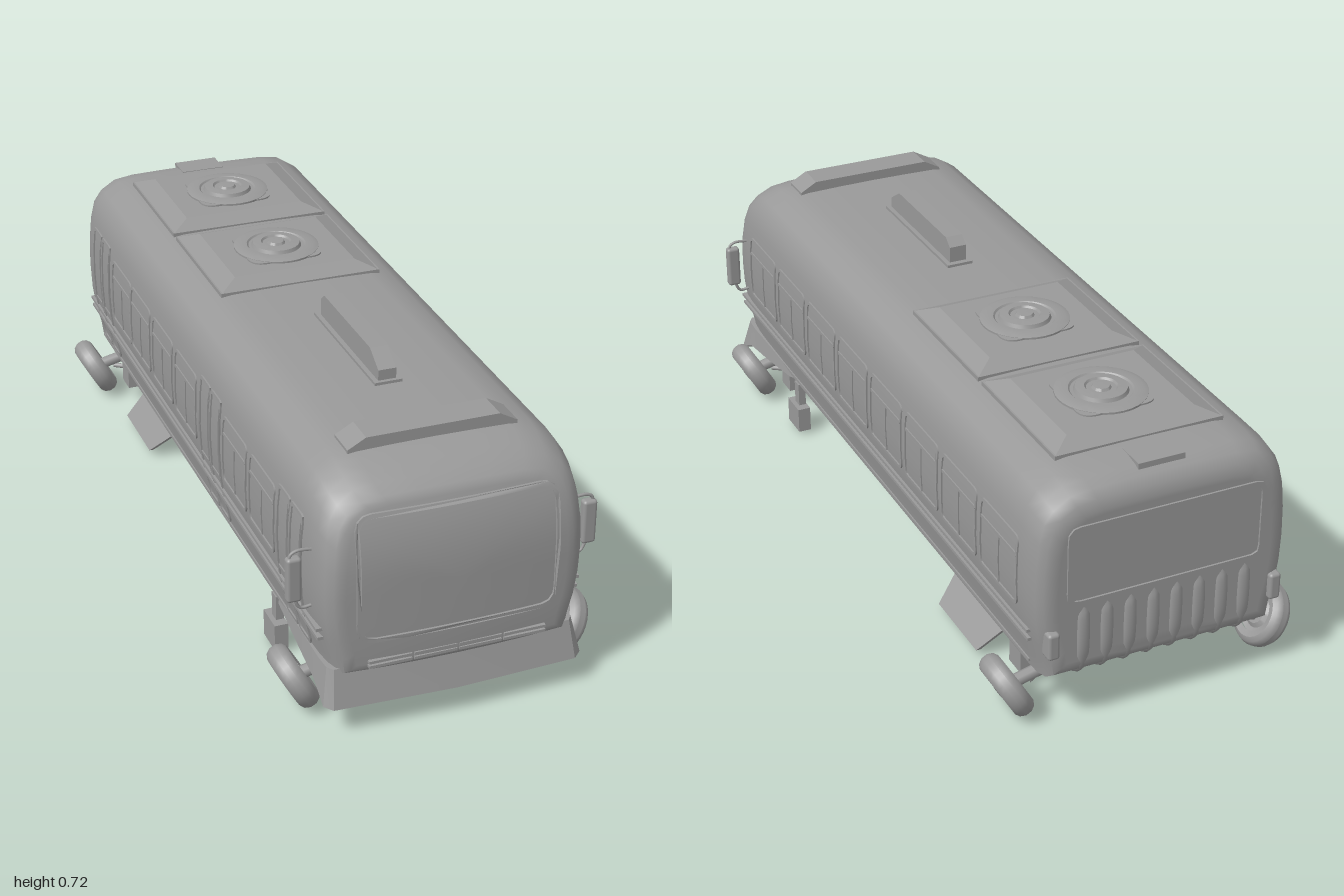
import * as THREE from 'three';
import { toCreasedNormals } from 'three/addons/utils/BufferGeometryUtils.js';
import { RoundedBoxGeometry } from 'three/addons/geometries/RoundedBoxGeometry.js';

const grey = new THREE.MeshStandardMaterial({ color: 0x999999 });
const thin = new THREE.MeshStandardMaterial({ color: 0x999999, side: THREE.DoubleSide });
const V = (x, y, z) => new THREE.Vector3(x, y, z);

// Half cross-section of the body, bottom to top
const section = [[0, 0.145], [0.1, 0.145], [0.2, 0.145], [0.3, 0.146], [0.306, 0.19], [0.319, 0.245], [0.328, 0.31], [0.331, 0.38],
  [0.329, 0.46], [0.322, 0.53], [0.31, 0.58], [0.287, 0.613], [0.245, 0.64], [0.19, 0.648], [0.1, 0.65], [0, 0.651]];

function sideX(y) {
  const i = section.findIndex(p => p[1] >= y);
  const [x0, y0] = section[i - 1], [x1, y1] = section[i];
  return x0 + (x1 - x0) * (y - y0) / (y1 - y0);
}

function mapVertices(geo, fn) {
  const p = geo.attributes.position, v = V(0, 0, 0);
  for (let i = 0; i < p.count; i++) {
    fn(v.fromBufferAttribute(p, i));
    p.setXYZ(i, v.x, v.y, v.z);
  }
  geo.computeVertexNormals();
  return geo;
}

// Rakes and crowns the nose
function bendNose(v) {
  const f = THREE.MathUtils.smoothstep(v.z, 0.75, 0.97);
  v.z -= f * (1.2 * Math.max(0, v.y - 0.4) ** 2 + 0.15 * v.x * v.x + 0.5 * Math.max(0, 0.25 - v.y) ** 2);
}

// Skin through closed rings of equal point count, running towards +z
function loft(rings) {
  const n = rings[0].length, index = [];
  for (let i = 0; i < rings.length - 1; i++) for (let j = 0; j < n; j++) {
    const a = i * n + j, b = i * n + (j + 1) % n;
    index.push(a, b, a + n, b, b + n, a + n);
  }
  const geo = new THREE.BufferGeometry().setFromPoints(rings.flat());
  geo.setIndex(index);
  geo.computeVertexNormals();
  return geo;
}

function bodyGeometry() {
  const outline = [...section, ...section.slice(1, -1).reverse().map(([x, y]) => [-x, y])];
  const ring = (z, w, top, bot) => outline.map(([x, y]) => V(x * w, bot + (y - 0.145) / 0.506 * (top - bot), z));
  const cap = (z, w, top, bot) => [0, 0.25, 0.5, 0.7, 0.85, 0.95].map(k =>
    ring(z, w * k, 0.37 + (top - 0.37) * k, 0.37 + (bot - 0.37) * k));
  const rings = cap(-0.985, 0.88, 0.585, 0.18);
  for (const r of [[-0.985, 0.88, 0.585, 0.18], [-0.977, 0.935, 0.61, 0.162], [-0.96, 0.973, 0.63, 0.15], [-0.93, 0.995, 0.643, 0.146],
    [-0.89, 1, 0.65, 0.145], [-0.81, 1, 0.651, 0.145], [0.75, 1, 0.651, 0.145], [0.82, 1, 0.651, 0.145], [0.89, 0.995, 0.645, 0.147],
    [0.94, 0.982, 0.632, 0.15], [0.97, 0.957, 0.616, 0.155], [0.985, 0.91, 0.595, 0.165]]) rings.push(ring(...r));
  rings.push(ring(0.99, 0.87, 0.587, 0.173), ...cap(0.99, 0.87, 0.587, 0.173).reverse());
  return toCreasedNormals(mapVertices(loft(rings), bendNose), 0.7);
}

// Points of a rounded rectangle centred on cx, cy
function roundPoints(cx, cy, w, h, r) {
  const x = w / 2, y = h / 2, s = new THREE.Shape();
  s.moveTo(r - x, -y).lineTo(x - r, -y).quadraticCurveTo(x, -y, x, r - y).lineTo(x, y - r).quadraticCurveTo(x, y, x - r, y);
  s.lineTo(r - x, y).quadraticCurveTo(-x, y, -x, y - r).lineTo(-x, r - y).quadraticCurveTo(-x, -y, r - x, -y);
  return s.getSpacedPoints(80).slice(0, -1).map(p => p.add(new THREE.Vector2(cx, cy)));
}

// Rounded plate, or a frame when a border is given
function plate(cx, cy, w, h, r, depth, border = 0) {
  const s = new THREE.Shape(roundPoints(cx, cy, w, h, r));
  if (border) s.holes.push(new THREE.Path(roundPoints(cx, cy, w - 2 * border, h - 2 * border, Math.max(r - border, 0.004))));
  return new THREE.ExtrudeGeometry(s, { depth, bevelEnabled: false });
}

export function createModel() {
  const model = new THREE.Group();
  const add = (name, geo, x = 0, y = 0, z = 0, parent = model, mat = grey) => {
    const m = new THREE.Mesh(geo, mat);
    m.name = name;
    m.position.set(x, y, z);
    parent.add(m);
    return m;
  };
  const box = (name, w, h, d, x, y, z) => add(name, new THREE.BoxGeometry(w, h, d), x, y, z);
  const tube = (name, pts, r, n = 24) =>
    add(name, new THREE.TubeGeometry(new THREE.CatmullRomCurve3(pts.map(p => V(...p))), n, r, 8));
  const extrude = (pts, depth) => new THREE.ExtrudeGeometry(
    new THREE.Shape(pts.map(p => new THREE.Vector2(...p))), { depth, bevelEnabled: false });
  // Lays a plate on the curved side wall; s is +1 for left, -1 for right
  const onSide = (name, s, z, y, w, h, r, depth, border) => {
    const g = plate(-s * z, y, w, h, r, depth, border).rotateY(s * Math.PI / 2);
    add(name, toCreasedNormals(mapVertices(g, v => { v.x += s * (sideX(v.y) - 0.001); }), 0.6));
  };
  const rail = (name, s, y, h, out, length, z) => box(name, 0.02, h, length, s * (sideX(y) - 0.01 + out), y, z);

  add('body', bodyGeometry());

  // Windscreen frame and the slatted strip below it
  const screen = plate(0, 0.405, 0.5, 0.32, 0.045, 0.012, 0.01).translate(0, 0, 0.984);
  add('windscreenFrame', toCreasedNormals(mapVertices(screen, bendNose), 0.6));
  for (let i = 0; i < 4; i++) for (const y of [0.181, 0.193]) box('noseSlat', 0.106, 0.007, 0.02, -0.168 + i * 0.112, y, 0.981);

  // Flared front skirt, wrapping round to the wheel arches
  const half = [[0.305, 0.165, 0.62, 0.308, 0.15], [0.308, 0.17, 0.78, 0.315, 0.128], [0.31, 0.172, 0.9, 0.322, 0.118],
    [0.308, 0.174, 0.945, 0.325, 0.085], [0.296, 0.175, 0.962, 0.305, 0.08], [0, 0.175, 0.975, 0, 0.08]];
  const row = [...half, ...half.slice(0, -1).reverse().map(([a, b, c, d, e]) => [-a, b, c, -d, e])];
  const lipZ = z => z > 0.92 ? z + 0.025 : z;
  const skirt = loft(row.map(([x, y, z, x2, y2]) =>
    [V(x, y, z), V(x2, y2, lipZ(z)), V(x2 * 0.97, y2, lipZ(z) - 0.012), V(x * 0.95, y, z - 0.015)]));
  add('frontSkirt', toCreasedNormals(skirt, 0.5), 0, 0, 0, model, thin);

  // Windows, each with a transom and a short post
  const sideWindow = (s, z, w) => {
    onSide('windowFrame', s, z, 0.405, w, 0.185, 0.02, 0.005, 0.008);
    onSide('windowTransom', s, z, 0.448, w - 0.01, 0.008, 0.003, 0.004);
    onSide('windowPost', s, z, 0.38, 0.007, 0.13, 0.003, 0.004);
  };
  for (let i = 0; i < 8; i++) sideWindow(1, 0.745 - i * 0.219, 0.2);
  for (const z of [0.57, 0.37, -0.02, -0.22, -0.42, -0.6]) sideWindow(-1, z, 0.18);
  for (const z of [0.76, 0.18, -0.8]) for (const d of [-0.042, 0.042]) {
    onSide('doorFrame', -1, z + d, 0.345, 0.08, 0.35, 0.012, 0.005, 0.009);
    onSide('doorRail', -1, z + d, 0.3, 0.07, 0.01, 0.003, 0.004);
  }
  for (const s of [1, -1]) {
    // Double belt moulding and sill
    for (const y of [0.248, 0.272]) rail('beltRail', s, y, 0.008, 0.007, 1.87, 0);
    rail('sillRail', s, 0.163, 0.008, 0.004, 1.7, -0.05);

    // Mirror and bracket
    tube('mirrorBracket', [[s * 0.32, 0.462, 0.89], [s * 0.36, 0.464, 0.89], [s * 0.375, 0.455, 0.89], [s * 0.372, 0.39, 0.89],
      [s * 0.36, 0.325, 0.89], [s * 0.35, 0.312, 0.89], [s * 0.32, 0.314, 0.89]], 0.004, 40);
    add('mirror', new RoundedBoxGeometry(0.036, 0.115, 0.025, 3, 0.008), s * 0.368, 0.392, 0.89);
    add('tailLight', new RoundedBoxGeometry(0.03, 0.07, 0.04, 3, 0.008), s * 0.29, 0.255, -0.98);

    // Flared panel below the sill
    const flare = extrude([[0.37, 0.125], [0.38, 0.09], [0.42, 0.025], [0.64, 0.025], [0.665, 0.09], [0.67, 0.125]], 0.012).rotateY(Math.PI / 2);
    add('sideFlare', mapVertices(flare, v => { v.x += s * (0.235 + 1.1 * (0.095 - v.y)) - 0.006; }));
  }

  // Rear window and the ribbed engine cover curling under the tail
  add('rearWindowFrame', toCreasedNormals(plate(0, 0.45, 0.51, 0.21, 0.03, 0.008, 0.012), 0.6), 0, 0, -0.99);
  for (let i = 0; i < 8; i++) {
    const x = -0.21 + i * 0.06;
    tube('rearRib', [[x, 0.33, -0.965], [x, 0.31, -0.971], [x, 0.21, -0.971], [x, 0.165, -0.957], [x, 0.147, -0.92], [x, 0.145, -0.8]], 0.021);
  }

  // Roof: two ventilators, fin, front cowl and rear box
  const lathe = pts => toCreasedNormals(new THREE.LatheGeometry(pts.map(p => new THREE.Vector2(...p)), 32), 0.6);
  for (const z of [-0.65, -0.245]) {
    const unit = new THREE.Group();
    unit.name = 'roofVentilator';
    unit.position.set(0, 0.645, z);
    model.add(unit);
    add('ventBase', new THREE.BoxGeometry(0.435, 0.016, 0.385), 0, 0.002, 0, unit);
    const hood = new THREE.CylinderGeometry(0.165 * Math.SQRT2, 0.216 * Math.SQRT2, 0.02, 4, 1).toNonIndexed().rotateY(Math.PI / 4).scale(1, 1, 0.885);
    hood.computeVertexNormals();
    add('ventHood', hood, 0, 0.019, 0, unit);
    add('ventFlange', plate(0, 0, 0.2, 0.2, 0.04, 0.006).rotateX(-Math.PI / 2), 0, 0.027, 0, unit);
    add('ventDisc', lathe([[0.112, 0], [0.112, 0.006], [0.1, 0.01], [0.078, 0.01], [0.074, 0.006], [0.066, 0.006], [0.062, 0.015],
      [0.04, 0.017], [0.036, 0.012], [0.024, 0.012], [0.02, 0.018], [0, 0.019]]), 0, 0.028, 0, unit);
  }
  const fin = add('roofFin', extrude([[-0.535, 0.64], [-0.535, 0.685], [-0.48, 0.72], [-0.175, 0.72], [-0.15, 0.7], [-0.15, 0.64]].reverse(), 0.046), -0.023);
  fin.rotation.y = Math.PI / 2;
  box('finBase', 0.07, 0.012, 0.41, 0, 0.652, 0.34);
  add('frontCowl', extrude([[-0.21, 0.63], [0.21, 0.63], [0.21, 0.652], [0.165, 0.677], [-0.165, 0.677], [-0.21, 0.652]], 0.08), 0, 0, 0.735);
  box('rearRoofBox', 0.12, 0.035, 0.075, 0, 0.634, -0.907);

  // Splayed wheels with stub axles and spring packs
  const tyre = [[0.05, -0.023], [0.066, -0.027], [0.077, -0.021], [0.084, -0.008], [0.084, 0.008], [0.077, 0.021], [0.066, 0.027], [0.05, 0.023]];
  const hub = [[0, -0.02], [0.03, -0.02], [0.04, -0.012], [0.052, -0.016], [0.052, 0.016], [0.04, 0.012], [0.032, 0.012], [0.025, 0.026], [0.01, 0.028], [0, 0.028]];
  for (const z of [0.825, -0.865]) {
    const inward = -Math.sign(z);
    for (const s of [1, -1]) {
      const wheel = new THREE.Group();
      wheel.name = 'wheel';
      wheel.position.set(s * 0.345, 0.082, z);
      wheel.rotation.y = s > 0 ? 0 : Math.PI;
      model.add(wheel);
      const spin = new THREE.Group();
      spin.rotation.z = -Math.PI * 2 / 3;
      wheel.add(spin);
      add('tyre', lathe(tyre), 0, 0, 0, spin);
      add('hub', lathe(hub), 0, 0, 0, spin);
      tube('stubAxle', [[s * 0.34, 0.083, z], [s * 0.27, 0.1, z], [s * 0.18, 0.12, z]], 0.016);
      box('springPack', 0.04, 0.06, 0.06, s * 0.26, 0.085, z + inward * 0.09);
      tube('controlArm', [[s * 0.29, 0.075, z], [s * 0.2, 0.075, z + inward * 0.06], [s * 0.12, 0.1, z + inward * 0.14]], 0.007);
    }
    box('axleBeam', 0.42, 0.04, 0.05, 0, 0.125, z);
  }

  // Underframe: tray, rails, brackets and pipework set in from the sills
  box('floorTray', 0.28, 0.03, 1.4, 0, 0.137, 0);
  for (const s of [1, -1]) {
    box('chassisRail', 0.04, 0.05, 1.5, s * 0.15, 0.123, 0);
    for (let i = 0; i < 6; i++) {
      const z = 0.45 - i * 0.2;
      box('underBox', 0.08, 0.05, 0.08, s * 0.2, 0.12, z);
      const arch = add('bracket', new THREE.CylinderGeometry(0.05, 0.05, 0.014, 20), s * 0.09, 0.135, z + 0.1);
      arch.rotation.x = Math.PI / 2;
    }
    tube('pipe', Array.from({ length: 13 }, (_, i) => [s * (0.16 + 0.015 * Math.sin(i * 2)), 0.076 + 0.008 * Math.cos(i * 1.7), 0.75 - i * 0.1]), 0.006, 72);
    box('innerStep', 0.06, 0.09, 0.08, s * 0.18, 0.09, 0.58);
    box('outerStep', 0.035, 0.07, 0.08, s * 0.3, 0.05, 0.58);
    box('stepHanger', 0.02, 0.08, 0.03, s * 0.295, 0.11, 0.58);
    for (const z of [0.34, 0.04, -0.24]) box('hanger', 0.1, 0.08, 0.04, s * 0.17, 0.09, z);
  }
  for (let i = 0; i < 7; i++) box('crossMember', 0.5, 0.035, 0.03, 0, 0.125, 0.55 - i * 0.2);
  // Round housing between the front wheels
  add('frontHousing', new THREE.SphereGeometry(0.082, 32, 20), 0, 0.105, 0.84);
  const band = add('housingBand', lathe([[0.07, -0.02], [0.092, -0.02], [0.092, 0.02], [0.07, 0.02]]), 0, 0.105, 0.84);
  band.rotation.x = Math.PI / 2;
  return model;
}
